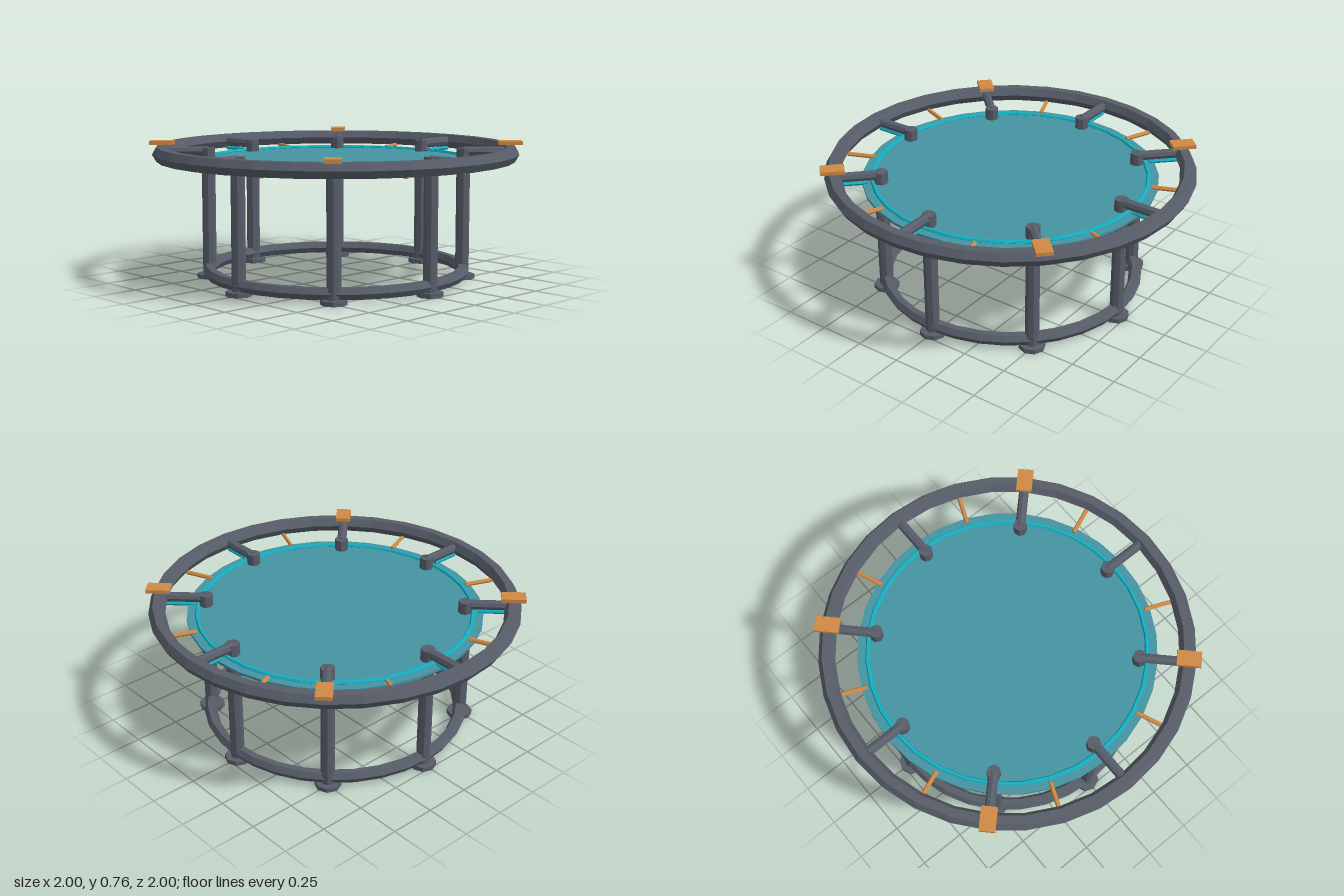
import * as THREE from 'three';

const material = (name, color) => {
  const m = new THREE.MeshStandardMaterial({ color, flatShading: true });
  m.name = name;
  return m;
};

export function createModel() {
  const steel = material('frame grey', 0x575d69);
  const teal = material('mat teal', 0x4594a3);
  const cyan = material('trim cyan', 0x14b0c2);
  const orange = material('accent orange', 0xcf8a45);

  const model = new THREE.Group();
  model.name = 'trampoline';

  const add = (parent, name, geometry, mat, x, y, z) => {
    const mesh = new THREE.Mesh(geometry, mat);
    mesh.name = name;
    mesh.position.set(x, y, z);
    parent.add(mesh);
    return mesh;
  };

  // Horizontal ring lying around the y axis
  const ring = (name, radius, tube, sides, y, mat) =>
    add(model, name, new THREE.TorusGeometry(radius, tube, sides, 32).rotateX(Math.PI / 2), mat, 0, y, 0);

  // Bar running outward along x from r0 to r1
  const radialBar = (r0, r1, radius, sides) =>
    new THREE.CylinderGeometry(radius, radius, r1 - r0, sides).rotateZ(Math.PI / 2).translate((r0 + r1) / 2, 0, 0);

  ring('topRing', 0.955, 0.045, 6, 0.705, steel);
  ring('baseRing', 0.7, 0.035, 6, 0.055, steel);

  // Jumping mat with its raised hem
  add(model, 'mat', new THREE.CylinderGeometry(0.8, 0.8, 0.015, 32), teal, 0, 0.6525, 0);
  ring('matHem', 0.745, 0.012, 6, 0.662, cyan);

  const legGeo = new THREE.CylinderGeometry(0.0375, 0.0375, 0.71, 8);
  const footGeo = new THREE.CylinderGeometry(0.07, 0.07, 0.025, 8);
  const armGeo = radialBar(0.7, 0.94, 0.027, 8);
  const springGeo = radialBar(0.77, 0.93, 0.012, 6);
  const padGeo = new THREE.BoxGeometry(0.13, 0.02, 0.085);

  // Sixteen spokes: springs in alternating colours, legs on every second one
  for (let i = 0; i < 16; i++) {
    const spoke = new THREE.Group();
    spoke.name = 'spoke' + (i + 1);
    spoke.rotation.y = (i * Math.PI) / 8;
    model.add(spoke);

    const hasLeg = i % 2 === 0;
    add(spoke, 'spring', springGeo, hasLeg ? cyan : orange, 0, 0.665, 0);
    if (hasLeg) {
      add(spoke, 'leg', legGeo, steel, 0.7, 0.37, 0);
      add(spoke, 'foot', footGeo, steel, 0.7, 0.0125, 0);
      add(spoke, 'arm', armGeo, steel, 0, 0.705, 0);
    }
    // Clamp pads on the diagonals
    if (i % 4 === 2) add(spoke, 'clampPad', padGeo, orange, 0.955, 0.754, 0);
  }

  return model;
}
